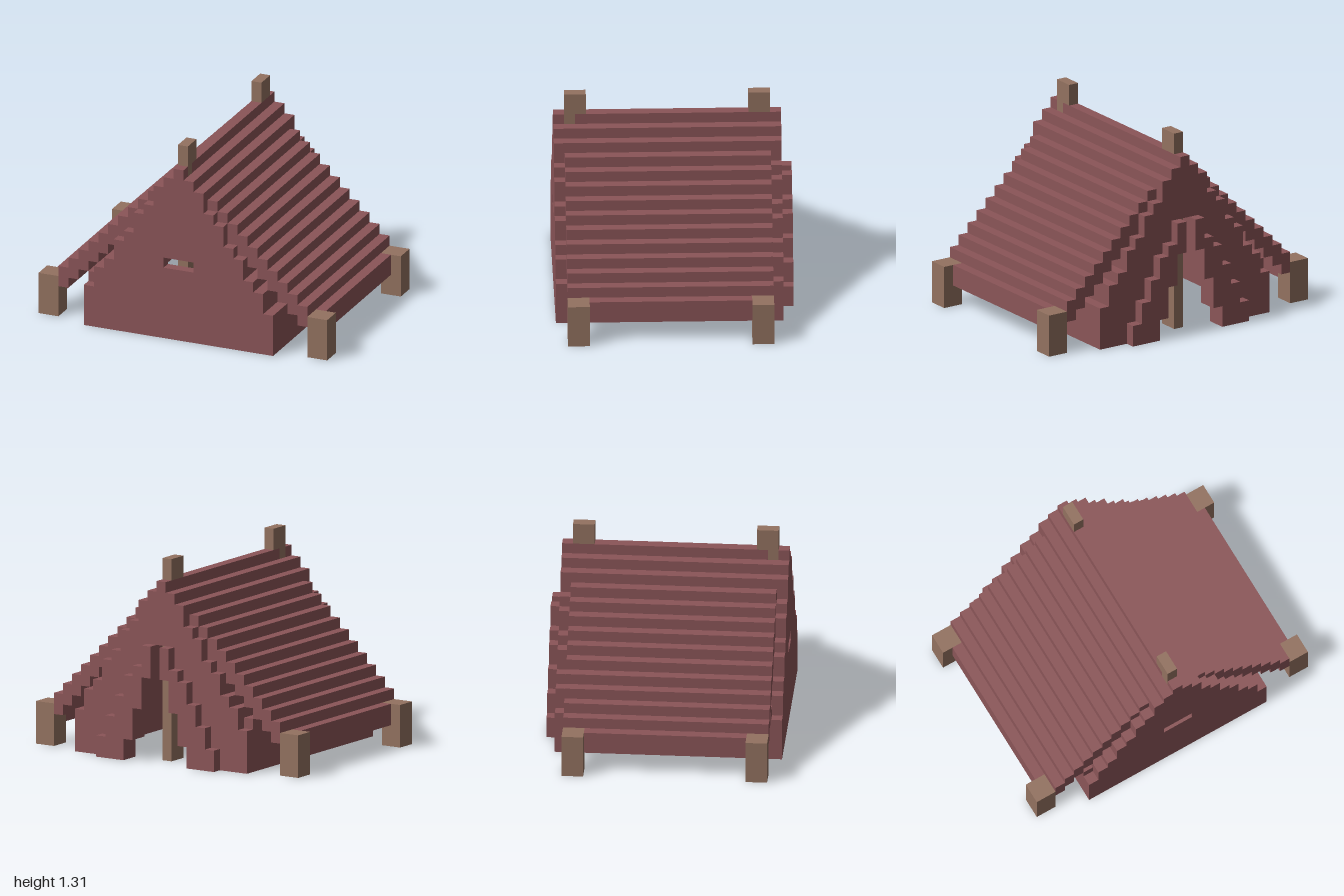
import * as THREE from 'three';

const U = 2 / 29; // one block
const red = new THREE.MeshStandardMaterial({ color: 0x8b5558, flatShading: true });
const brown = new THREE.MeshStandardMaterial({ color: 0x937260, flatShading: true });

// Box given by its two opposite corners, in blocks
function box(name, mat, [x0, y0, z0], [x1, y1, z1]) {
  const g = new THREE.BoxGeometry((x1 - x0) * U, (y1 - y0) * U, (z1 - z0) * U);
  g.translate((x0 + x1) / 2 * U, (y0 + y1) / 2 * U, (z0 + z1) / 2 * U);
  const m = new THREE.Mesh(g, mat);
  m.name = name;
  return m;
}

// Stair points running outwards; column k spans k - 0.5 to k + 0.5
function stairs(heights, first = 0) {
  return heights.flatMap((h, i) => [[first + i - 0.5, h], [first + i + 0.5, h]]);
}

// Plate one block thick, standing at z to z + 1
function plate(name, points, z, hole) {
  const toV = ([x, y]) => new THREE.Vector2(x * U, y * U);
  const shape = new THREE.Shape(points.map(toV));
  if (hole) shape.holes.push(new THREE.Path(hole.map(toV)));
  const g = new THREE.ExtrudeGeometry(shape, { depth: U, bevelEnabled: false });
  g.translate(0, 0, z * U);
  const m = new THREE.Mesh(g, red);
  m.name = name;
  return m;
}

const mirror = (pts) => pts.map(([x, y]) => [-x, y]).reverse();

export function createModel() {
  const tent = new THREE.Group();
  tent.name = 'tent';

  // Stepped gable outline, shared by both end walls
  const heights = [17, 16, 15, 13, 12, 10, 9, 7, 6, 4];
  const half = [...stairs(heights).slice(1), [9.5, 0]];
  const gable = [...mirror(half), ...half];

  // Front wall with a small window slot
  tent.add(plate('frontWall', gable, 10, [[-1.5, 7], [1.5, 7], [1.5, 8], [-1.5, 8]]));

  // Back wall with a stepped doorway
  const door = [...stairs([11, 8, 5, 2]).slice(1), [3.5, 0]];
  const doorway = [...mirror(door), ...door].reverse();
  tent.add(plate('backWall', [...gable, ...doorway], -10));

  // Door flaps folded back on both sides of the doorway
  const flapTop = stairs([11, 9, 8, 6, 4, 2], 1);
  const flapInner = stairs([8, 5, 2], 1).reverse();
  const flap = [...flapTop, [6.5, 0], [3.5, 0], ...flapInner];
  tent.add(plate('doorFlapLeft', flap, -11), plate('doorFlapRight', mirror(flap), -11));

  // Ridge of the roof
  tent.add(box('roofRidge', red, [-0.5, 15, -9], [0.5, 17, 9]));

  for (const s of [-1, 1]) {
    const side = (name, mat, x0, x1, y0, y1, z0, z1) =>
      tent.add(box(name, mat, [Math.min(s * x0, s * x1), y0, z0], [Math.max(s * x0, s * x1), y1, z1]));

    // Roof steps, the lowest one fitting between the stakes
    for (let k = 1; k <= 13; k++) {
      const low = k === 13;
      side('roofStep', red, k - 0.5, k + 0.5, 15 - k, 17 - k, low ? -7 : -9, low ? 8 : 10);
    }
    // Inner lining under the roof, joining the two end walls
    for (let k = 3; k <= 8; k++) {
      side('innerLining', red, k - 0.5, k + 0.5, heights[k + 1], heights[k], -9, 10);
    }
    // Low side wall, one block higher on the right
    side('sideWall', red, 8.5, 9.5, 0, s < 0 ? 5 : 4, -9, 10);
    // Corner stakes
    for (const z of [-9, 8]) side('cornerStake', brown, 12.5, 14.5, 0, 4, z, z + 2);
  }

  // Tent poles, below and above the ridge
  for (const z of [-9, 8]) {
    tent.add(box('poleLower', brown, [-0.5, 0, z], [0.5, 15, z + 2]));
    tent.add(box('poleTop', brown, [-0.5, 17, z], [0.5, 19, z + 2]));
  }
  // Front pole showing past the end of the ridge
  tent.add(box('poleFrontJoint', brown, [-0.5, 15, 9], [0.5, 17, 10]));

  return tent;
}
